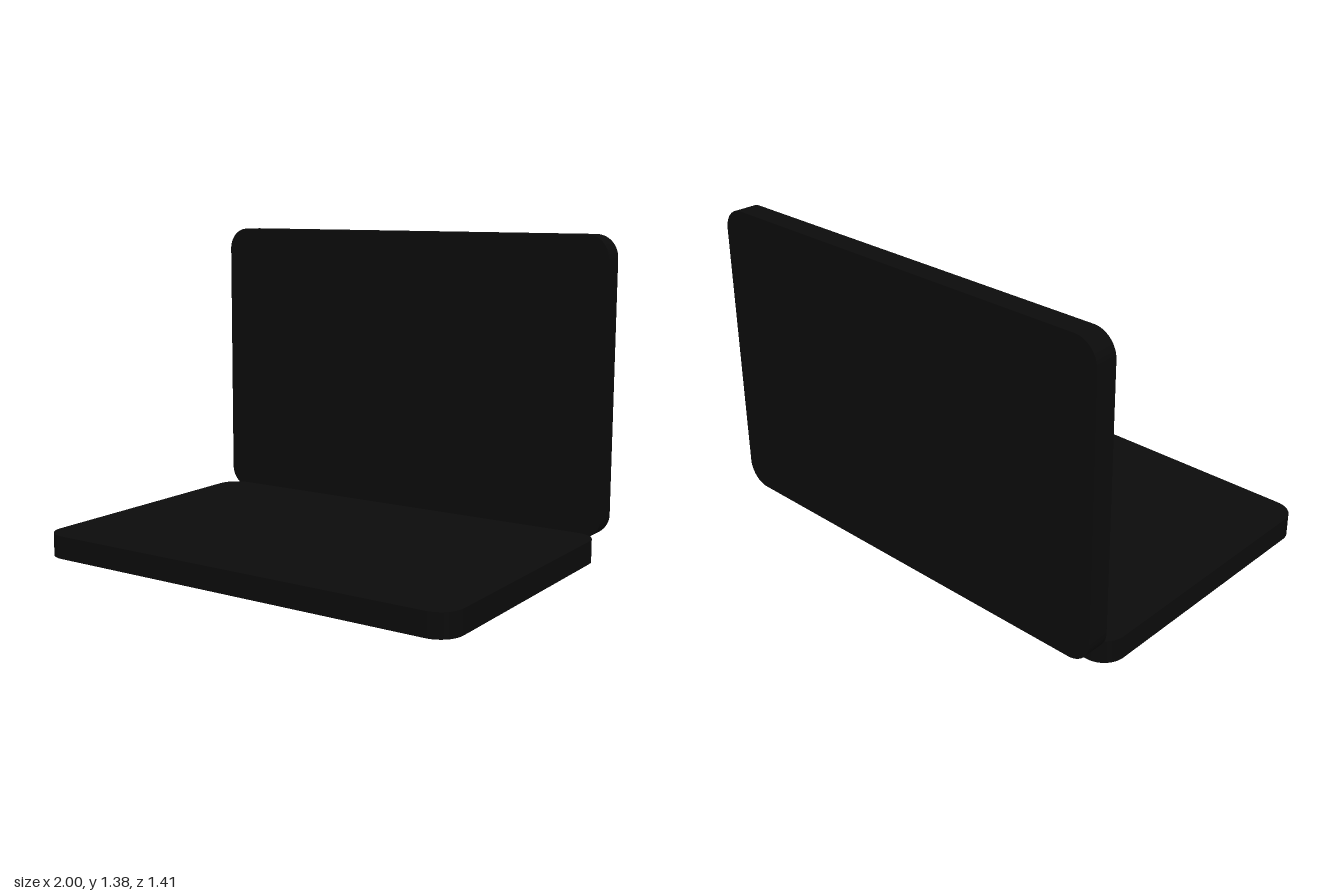
import * as THREE from 'three';
import { toCreasedNormals } from 'three/addons/utils/BufferGeometryUtils.js';

const WIDTH = 2, DEPTH = 1.306, THICKNESS = 0.1, RADIUS = 0.1;

// Flat slab with rounded corners, centred on its own origin, facing z
function slabGeometry() {
  const x = WIDTH / 2 - RADIUS, y = DEPTH / 2 - RADIUS;
  const shape = new THREE.Shape();
  [[x, y], [-x, y], [-x, -y], [x, -y]].forEach(([cx, cy], i) => {
    shape.absarc(cx, cy, RADIUS, i * Math.PI / 2, (i + 1) * Math.PI / 2, false);
  });
  shape.closePath();
  const geometry = new THREE.ExtrudeGeometry(shape, {
    depth: THICKNESS, bevelEnabled: false, curveSegments: 10,
  });
  geometry.translate(0, 0, -THICKNESS / 2);
  return toCreasedNormals(geometry, Math.PI / 6);
}

export function createModel() {
  const group = new THREE.Group();
  group.name = 'laptop';
  const black = new THREE.MeshStandardMaterial({ color: 0x0b0b0b });
  const geometry = slabGeometry();

  // Keyboard half, lying flat
  const base = new THREE.Mesh(geometry, black);
  base.name = 'base';
  base.rotation.x = -Math.PI / 2;
  base.position.set(0, THICKNESS / 2, 0.707 - DEPTH / 2);

  // Screen half, standing upright just behind the base
  const lid = new THREE.Mesh(geometry, black);
  lid.name = 'screenLid';
  lid.position.set(0, 0.074 + DEPTH / 2, -0.707 + THICKNESS / 2);

  group.add(base, lid);
  return group;
}
